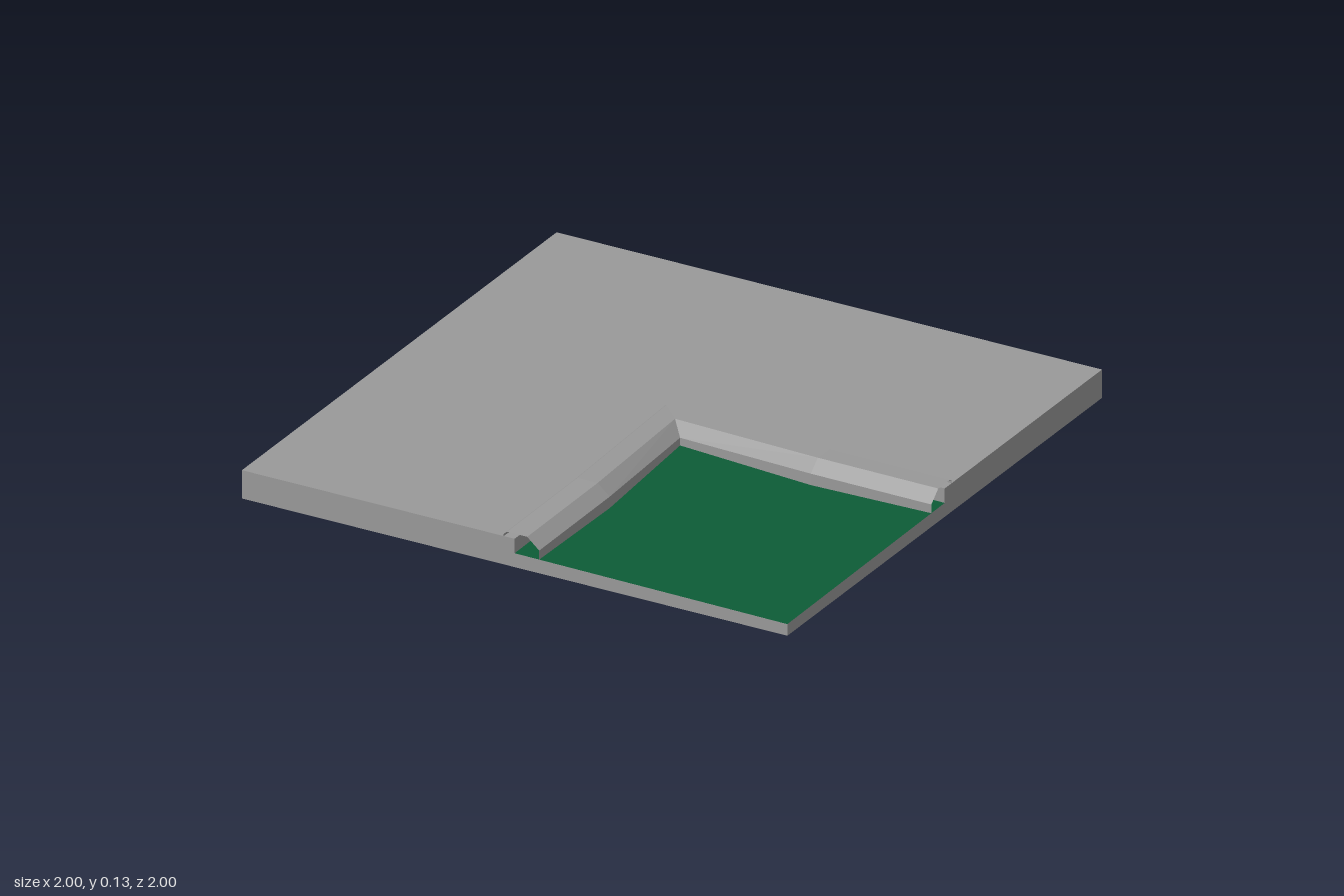
import * as THREE from 'three';

const concrete = new THREE.MeshStandardMaterial({ color: 0x999999 });
concrete.name = 'concrete grey';
const grass = new THREE.MeshStandardMaterial({ color: 0x0d5c36 });
grass.name = 'grass green';
const kerbGrey = concrete.clone();
kerbGrey.name = 'kerb grey';
kerbGrey.side = THREE.DoubleSide;

// L-shaped pavement, 0.1 thick, open over the +x +z quarter
function makePavement() {
  const outline = [[-1, -1], [0, -1], [0, 0], [1, 0], [1, 1], [-1, 1]];
  const shape = new THREE.Shape(outline.map(([x, y]) => new THREE.Vector2(x, y)));
  const geo = new THREE.ExtrudeGeometry(shape, { depth: 0.1, bevelEnabled: false });
  geo.rotateX(-Math.PI / 2);
  const mesh = new THREE.Mesh(geo, concrete);
  mesh.name = 'pavement';
  return mesh;
}

// Lower quarter whose grassy top slopes gently to the outer corner
function makeLawn() {
  const geo = new THREE.BoxGeometry(1, 0.05, 1, 2, 1, 2).translate(0.5, 0.025, 0.5);
  const p = geo.attributes.position;
  for (let i = 0; i < p.count; i++) {
    if (p.getY(i) > 0.01) p.setY(i, 0.057 - 0.008 * (p.getX(i) + p.getZ(i)));
  }
  geo.computeVertexNormals();
  const mesh = new THREE.Mesh(geo, [concrete, concrete, grass, concrete, concrete, concrete]);
  mesh.name = 'lawn';
  return mesh;
}

// Hollow kerb: one profile carried along both edges and mitred at the corner
function makeKerb() {
  // x, z of the outer edge, top height, and how far the profile moves in x and z
  const stations = [
    { x: -0.04, z: 1, top: 0.118, dx: 1, dz: 0 },
    { x: -0.03, z: 0.57, top: 0.13, dx: 1, dz: 0 },
    { x: -0.06, z: -0.06, top: 0.121, dx: 1, dz: 1 },
    { x: 0.57, z: -0.025, top: 0.13, dx: 0, dz: 1 },
    { x: 1, z: -0.045, top: 0.117, dx: 0, dz: 1 },
  ];
  const section = (s) => [
    [0, 0.1], [0, s.top - 0.01], [0.012, s.top], [0.086, s.top], [0.13, s.top - 0.038], [0.13, 0.042],
  ].map(([u, y]) => [s.x + u * s.dx, y, s.z + u * s.dz]);
  const rows = stations.map(section);
  const pos = [];
  for (let i = 0; i < rows.length - 1; i++) {
    for (let j = 0; j < rows[i].length - 1; j++) {
      const a = rows[i][j], b = rows[i][j + 1], c = rows[i + 1][j], d = rows[i + 1][j + 1];
      pos.push(...a, ...b, ...c, ...b, ...d, ...c);
    }
  }
  const geo = new THREE.BufferGeometry();
  geo.setAttribute('position', new THREE.Float32BufferAttribute(pos, 3));
  geo.computeVertexNormals();
  const mesh = new THREE.Mesh(geo, kerbGrey);
  mesh.name = 'kerb';
  return mesh;
}

export function createModel() {
  const group = new THREE.Group();
  group.name = 'pavementCorner';
  group.add(makePavement(), makeLawn(), makeKerb());
  return group;
}
